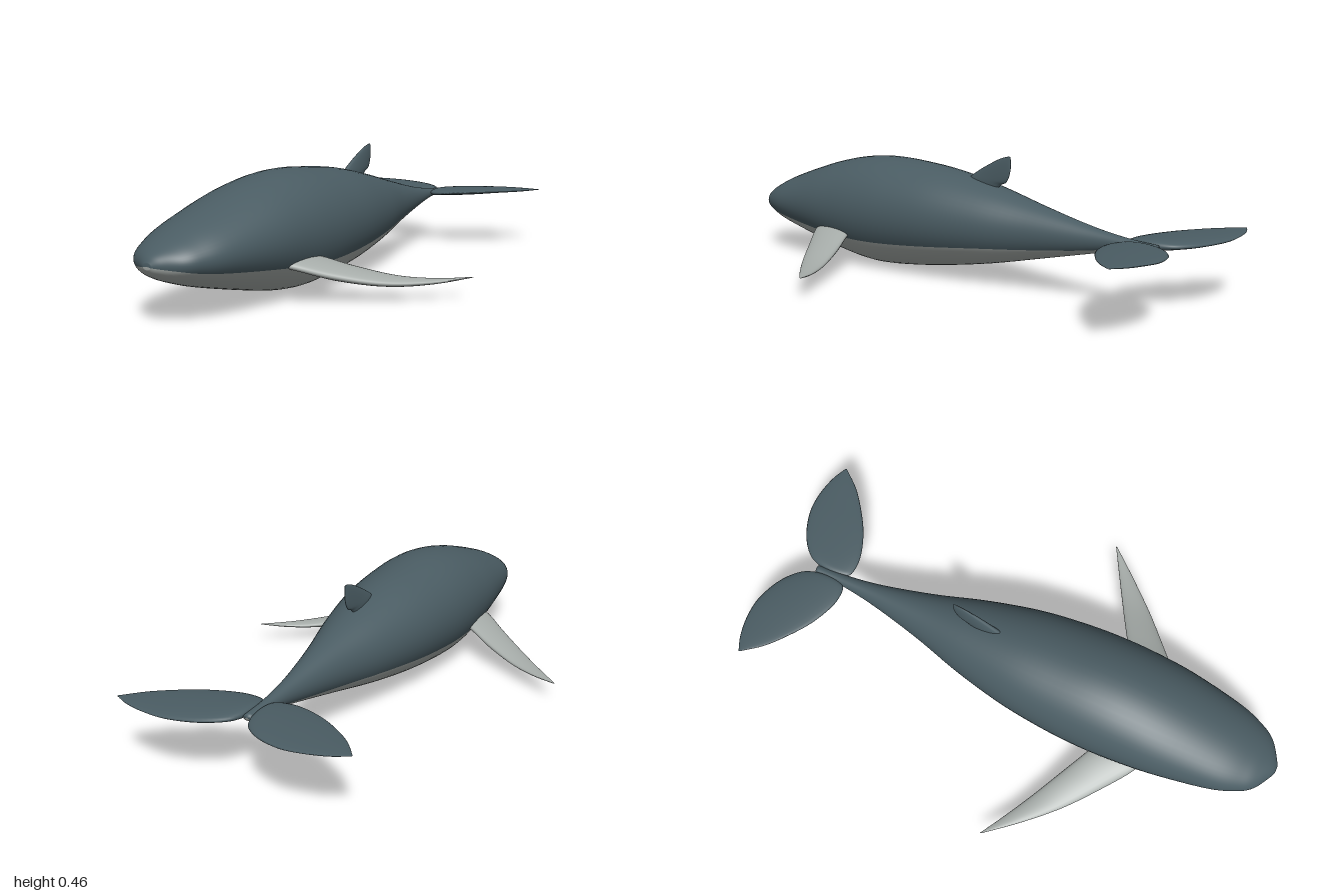
import * as THREE from 'three';

const backMat = new THREE.MeshStandardMaterial({ color: 0x4a5c63 });
backMat.name = 'slate back';
const bellyMat = new THREE.MeshStandardMaterial({ color: 0xa6aca9 });
bellyMat.name = 'pale belly';

// Smoothly interpolates the rows of a table into count + 1 rows
function smoothRows(rows, count) {
  const out = [];
  const at = (i) => rows[Math.min(Math.max(i, 0), rows.length - 1)];
  for (let k = 0; k <= count; k++) {
    const u = (k / count) * (rows.length - 1);
    const i = Math.min(Math.floor(u), rows.length - 2);
    const f = u - i;
    out.push(rows[i].map((_, c) => {
      const [a, b, d, e] = [at(i - 1)[c], at(i)[c], at(i + 1)[c], at(i + 2)[c]];
      return b + 0.5 * f * (d - a + f * (2 * a - 5 * b + 4 * d - e + f * (3 * (b - d) + e - a)));
    }));
  }
  return out;
}

// Skins closed rings of points; columns before `split` form group 0, the rest group 1
function loft(rings, split) {
  const n = rings[0].length;
  const positions = rings.flat(2);
  const index = [];
  const addColumns = (from, to) => {
    for (let j = from; j < to; j++) {
      const k = (j + 1) % n;
      for (let i = 0; i < rings.length - 1; i++) {
        const a = i * n, b = a + n;
        index.push(a + j, b + j, a + k, b + j, b + k, a + k);
      }
    }
  };
  const geo = new THREE.BufferGeometry();
  addColumns(0, split ?? n);
  if (split !== undefined) {
    geo.addGroup(0, index.length, 0);
    const start = index.length;
    addColumns(split, n);
    geo.addGroup(start, index.length - start, 1);
  }
  geo.setIndex(index);
  geo.setAttribute('position', new THREE.Float32BufferAttribute(positions, 3));
  geo.computeVertexNormals();
  return geo;
}

// Body: z, top y, bottom y, half width, y of the colour line
function makeBody() {
  const stations = [
    [1.0, 0.195, 0.175, 0.015, 0.182],
    [0.985, 0.215, 0.158, 0.045, 0.178],
    [0.95, 0.238, 0.138, 0.098, 0.17],
    [0.9, 0.264, 0.118, 0.132, 0.16],
    [0.8, 0.305, 0.088, 0.168, 0.147],
    [0.6, 0.368, 0.042, 0.202, 0.127],
    [0.45, 0.4, 0.012, 0.214, 0.115],
    [0.32, 0.411, 0.0, 0.217, 0.11],
    [0.18, 0.405, 0.009, 0.211, 0.113],
    [0.0, 0.386, 0.032, 0.19, 0.124],
    [-0.2, 0.346, 0.067, 0.146, 0.139],
    [-0.4, 0.298, 0.111, 0.088, 0.152],
    [-0.6, 0.253, 0.156, 0.042, 0.172],
    [-0.75, 0.229, 0.188, 0.021, 0.197],
    [-0.86, 0.221, 0.2, 0.015, 0.204],
  ];
  const BACK = 32, BELLY = 20;
  const rings = smoothRows(stations, 84).map(([z, top, bottom, w, line]) => {
    const cy = (top + bottom) / 2, h = (top - bottom) / 2;
    const a = Math.asin(THREE.MathUtils.clamp((line - cy) / h, -0.98, 0.98));
    const ring = [];
    for (let j = 0; j < BACK + BELLY; j++) {
      const t = j < BACK
        ? a + (Math.PI - 2 * a) * (j / BACK)
        : Math.PI - a + (Math.PI + 2 * a) * ((j - BACK) / BELLY);
      ring.push([w * Math.cos(t), cy + h * Math.sin(t), z]);
    }
    return ring;
  });
  // Close nose and tail
  const n = BACK + BELLY;
  rings.unshift(Array.from({ length: n }, () => [0, 0.185, 1.0]));
  rings.push(Array.from({ length: n }, () => [0, 0.211, -0.862]));
  return loft(rings, BACK);
}

// Sideways fin: x, y, front z, rear z, half thickness
function makeSideFin(stations, side) {
  const rings = smoothRows(stations, 36).map(([x, y, zf, zr, thick]) =>
    Array.from({ length: 24 }, (_, j) => {
      const t = (j / 24) * Math.PI * 2;
      return [side * x, y + side * thick * Math.sin(t), (zf + zr) / 2 + ((zf - zr) / 2) * Math.cos(t)];
    }));
  return loft(rings);
}

// Dorsal fin: front y, front z, rear y, rear z, half thickness
function makeDorsal() {
  const stations = [
    [0.335, -0.06, 0.32, -0.2, 0.015],
    [0.365, -0.08, 0.35, -0.225, 0.015],
    [0.395, -0.125, 0.362, -0.25, 0.013],
    [0.422, -0.175, 0.388, -0.264, 0.01],
    [0.444, -0.222, 0.42, -0.27, 0.006],
    [0.455, -0.262, 0.453, -0.268, 0.001],
  ];
  const rings = smoothRows(stations, 24).map(([yf, zf, yr, zr, thick]) =>
    Array.from({ length: 20 }, (_, j) => {
      const t = (j / 20) * Math.PI * 2;
      const m = (1 + Math.cos(t)) / 2;
      return [-thick * Math.sin(t), yr + (yf - yr) * m, zr + (zf - zr) * m];
    }));
  return loft(rings);
}

const FLIPPER = [
  [0.14, 0.135, 0.56, 0.38, 0.02],
  [0.2, 0.123, 0.538, 0.357, 0.022],
  [0.3, 0.09, 0.46, 0.302, 0.022],
  [0.42, 0.064, 0.357, 0.238, 0.016],
  [0.53, 0.06, 0.243, 0.178, 0.009],
  [0.63, 0.07, 0.127, 0.122, 0.001],
];

const FLUKE = [
  [0.008, 0.212, -0.79, -0.81, 0.002],
  [0.018, 0.212, -0.745, -0.868, 0.013],
  [0.045, 0.213, -0.728, -0.918, 0.016],
  [0.11, 0.216, -0.731, -0.967, 0.015],
  [0.2, 0.22, -0.765, -0.998, 0.012],
  [0.28, 0.224, -0.815, -1.0, 0.008],
  [0.36, 0.227, -0.88, -0.984, 0.005],
  [0.42, 0.23, -0.953, -0.957, 0.001],
];

export function createModel() {
  const model = new THREE.Group();
  model.name = 'whale';
  const add = (name, geometry, material) => {
    const mesh = new THREE.Mesh(geometry, material);
    mesh.name = name;
    model.add(mesh);
  };

  add('body', makeBody(), [backMat, bellyMat]);
  add('dorsalFin', makeDorsal(), backMat);

  // Paired fins
  for (const [label, side] of [['left', 1], ['right', -1]]) {
    add(label + 'Flipper', makeSideFin(FLIPPER, side), bellyMat);
    add(label + 'Fluke', makeSideFin(FLUKE, side), backMat);
  }
  return model;
}
